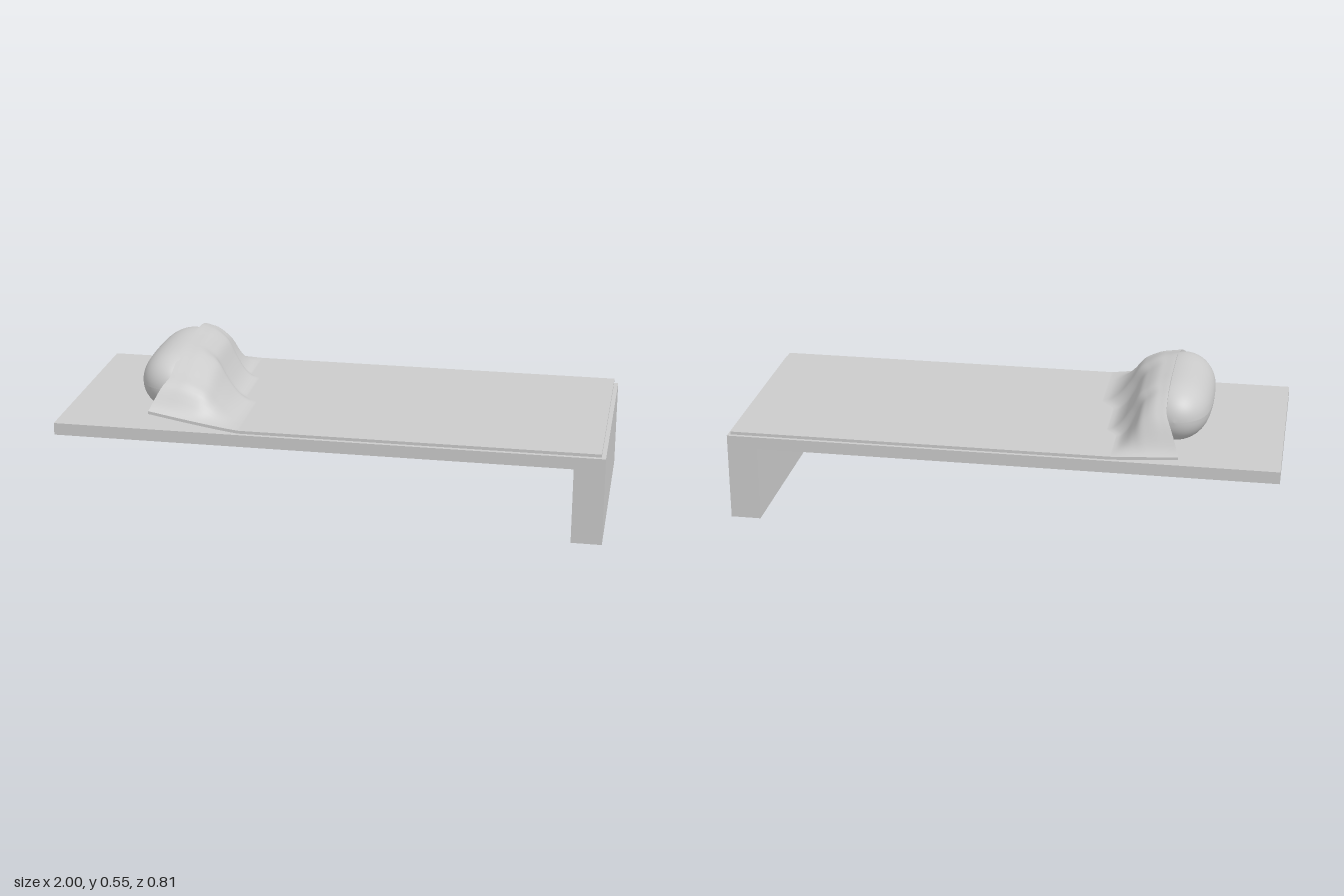
import * as THREE from 'three';

const HALF = 0.405;   // half depth of the bed
const BASE = 0.342;   // top of the flat blanket
const THICK = 0.011;  // blanket thickness

// Smooth function through evenly spaced values, t from 0 to 1
function smooth(values) {
  const curve = new THREE.SplineCurve(values.map((v, i) => new THREE.Vector2(i, v)));
  return (t) => curve.getPoint(THREE.MathUtils.clamp(t, 0, 1)).y;
}

// L-shaped bed: slab and foot in one extruded profile
function makeFrame(material) {
  const outline = [[-1, 0.28], [0.89, 0.28], [0.89, 0], [1, 0], [1, 0.325], [-1, 0.325]];
  const shape = new THREE.Shape(outline.map(([x, y]) => new THREE.Vector2(x, y)));
  const geo = new THREE.ExtrudeGeometry(shape, { depth: HALF * 2, bevelEnabled: false });
  geo.translate(0, 0, -HALF);
  const mesh = new THREE.Mesh(geo, material);
  mesh.name = 'bedFrame';
  return mesh;
}

// Bolster pillow: rounded capsule with a slightly fuller middle, flat underneath
function makePillow(material) {
  const geo = new THREE.SphereGeometry(1, 40, 48);
  geo.rotateX(Math.PI / 2);
  const p = geo.attributes.position;
  for (let i = 0; i < p.count; i++) {
    const s = p.getZ(i);
    const ring = Math.sqrt(Math.max(1 - s * s, 1e-9));
    const a = Math.asin(THREE.MathUtils.clamp(s, -1, 1)) / (Math.PI / 2);
    const z = Math.sign(a) * (1 - (1 - Math.abs(a)) ** 1.6);
    const r = (1 - Math.abs(z) ** 4.5) ** 0.5;
    const x = (p.getX(i) / ring) * r * (0.112 + 0.013 * (1 - z * z));
    const y = (p.getY(i) / ring) * r * 0.11;
    const tip = Math.abs(s) > 0.99999;
    p.setXYZ(i, -0.612 + (tip ? 0 : x), Math.max(0.326, 0.43 + (tip ? 0 : y)), z * 0.27);
  }
  geo.computeVertexNormals();
  const mesh = new THREE.Mesh(geo, material);
  mesh.name = 'pillow';
  return mesh;
}

// Blanket: thin sheet draped over the pillow, tapering to flat toward the foot
function makeBlanket(material) {
  const crest = smooth([0.357, 0.455, 0.515, 0.538, 0.545, 0.545, 0.545, 0.545, 0.538, 0.52, 0.498, 0.475, 0.395]);
  const slope = smooth([1, 0.97, 0.93, 0.84, 0.7, 0.42, 0.19, 0.05, 0]);
  const step = THREE.MathUtils.smoothstep;
  const nx = 44, humpCols = 40;
  const geo = new THREE.BoxGeometry(1, 1, 1, nx, 1, 60);
  const p = geo.attributes.position;
  for (let i = 0; i < p.count; i++) {
    const col = Math.round((p.getX(i) + 0.5) * nx);
    const w = p.getZ(i) + 0.5;
    const z = (w - 0.5) * 2 * HALF;
    const head = -0.587 - 0.05 * step(Math.abs(z), 0.3, 0.42) * 1.15;
    // the drape reaches farther in stepped folds toward the front side
    const end = -0.4 + 0.04 * step(z, -0.22, -0.16) + 0.05 * step(z, 0.03, 0.11);
    const t = Math.min(col / humpCols, 1);
    const x = col <= humpCols
      ? THREE.MathUtils.lerp(head, end, t)
      : THREE.MathUtils.lerp(end, 0.985, (col - humpCols) / (nx - humpCols));
    const side = step(Math.abs(z), 0.32, HALF);
    const fall = THREE.MathUtils.lerp(slope(t), (1 - t) ** 1.15, side);
    const top = BASE + (crest(w) - BASE) * fall;
    p.setXYZ(i, x, top - (p.getY(i) < 0 ? THICK : 0), z);
  }
  geo.computeVertexNormals();
  const mesh = new THREE.Mesh(geo, material);
  mesh.name = 'blanket';
  return mesh;
}

export function createModel() {
  const material = new THREE.MeshStandardMaterial({ color: 0xcccccc });
  const bed = new THREE.Group();
  bed.name = 'bed';
  bed.add(makeFrame(material), makePillow(material), makeBlanket(material));
  return bed;
}
